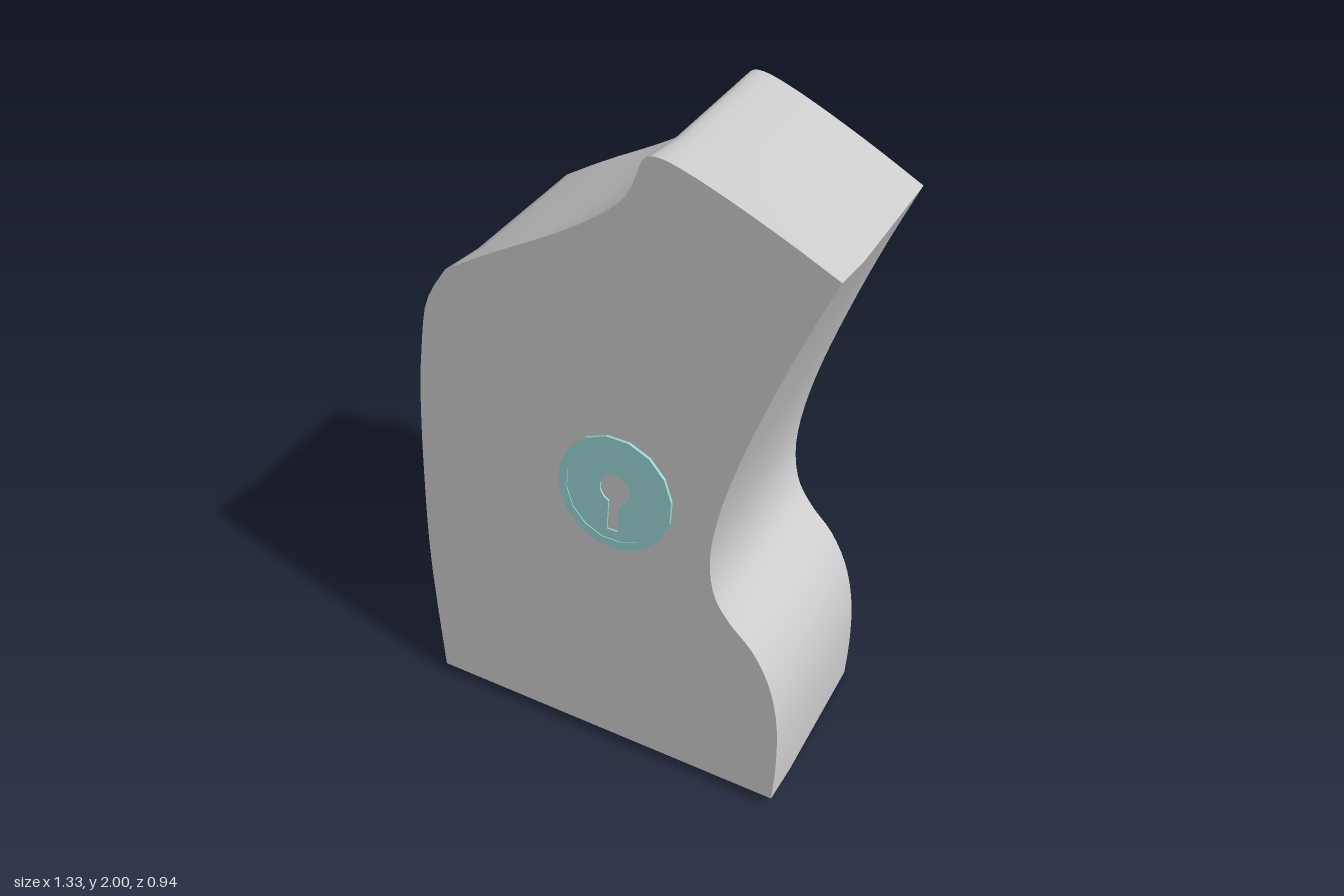
import * as THREE from 'three';
import { toCreasedNormals } from 'three/addons/utils/BufferGeometryUtils.js';

const lerp = THREE.MathUtils.lerp;
const vecs = (list) => list.map(([x, y]) => new THREE.Vector2(x, y));

// Regular polygon outline
function polygon(radius, sides, cy = 0) {
  return Array.from({ length: sides }, (_, i) => {
    const a = ((i + 0.5) / sides) * Math.PI * 2;
    return new THREE.Vector2(Math.cos(a) * radius, cy + Math.sin(a) * radius);
  });
}

// Curved slab: outline extruded back, then skewed between two leaning planes
function makeBody(material) {
  const shape = new THREE.Shape();
  shape.moveTo(-0.55, 0.037);
  shape.lineTo(0.66, 0.037);
  shape.splineThru(vecs([[0.66, 0.18], [0.645, 0.33], [0.605, 0.46], [0.54, 0.56], [0.46, 0.63], [0.4, 0.71],
    [0.375, 0.83], [0.388, 0.98], [0.43, 1.16], [0.5, 1.38], [0.58, 1.6], [0.66, 1.795]]));
  shape.splineThru(vecs([[0.5, 1.866], [0.33, 1.935], [0.2, 1.981], [0.12, 2.0], [0.075, 1.987], [0.05, 1.92],
    [0.02, 1.86], [-0.06, 1.79], [-0.2, 1.7], [-0.4, 1.59], [-0.55, 1.5]]));
  shape.splineThru(vecs([[-0.618, 1.375], [-0.638, 1.2], [-0.643, 1.05], [-0.635, 0.8], [-0.61, 0.45], [-0.55, 0.037]]));

  const geo = new THREE.ExtrudeGeometry(shape, { depth: 1, steps: 4, bevelEnabled: false, curveSegments: 3 });
  const pos = geo.attributes.position;
  for (let i = 0; i < pos.count; i++) {
    const t = 1 - pos.getZ(i);
    // The front quarter drops faster than the rest
    const drop = t < 0.25 ? t * 0.1 : lerp(0.025, 0.036, (t - 0.25) / 0.75);
    const x = pos.getX(i) - 0.028 * t;
    const y = pos.getY(i) - drop;
    const front = 0.466 - 0.0165 * x - 0.132 * y;
    const back = -0.212 + 0.048 * x - 0.135 * y;
    pos.setXYZ(i, x, y, lerp(front, back, t));
  }
  const mesh = new THREE.Mesh(toCreasedNormals(geo, 0.5), material);
  mesh.name = 'body';
  return mesh;
}

// Keyhole outline: round top with a straight slot below
function keyholePath(radius, halfSlot, slotBottom) {
  const pts = [new THREE.Vector2(-halfSlot, slotBottom), new THREE.Vector2(halfSlot, slotBottom)];
  const start = -Math.PI / 2 + Math.asin(halfSlot / radius);
  const sweep = Math.PI * 2 - 2 * Math.asin(halfSlot / radius);
  for (let i = 0; i <= 12; i++) {
    const a = start + (sweep * i) / 12;
    pts.push(new THREE.Vector2(Math.cos(a) * radius, 0.015 + Math.sin(a) * radius));
  }
  return pts;
}

// Thin disc with keyhole and raised rim, held just off the front face
function makeKeyhole(material) {
  const group = new THREE.Group();
  group.name = 'keyhole';
  const add = (name, outer, hole, depth, z) => {
    const shape = new THREE.Shape(outer);
    shape.holes.push(new THREE.Path(hole));
    const mesh = new THREE.Mesh(new THREE.ExtrudeGeometry(shape, { depth, bevelEnabled: false }), material);
    mesh.position.z = z;
    mesh.name = name;
    group.add(mesh);
  };
  add('keyholePlate', polygon(0.188, 16), keyholePath(0.05, 0.018, -0.128), 0.006, -0.004);
  add('keyholeRim', polygon(0.19, 16), polygon(0.162, 16), 0.01, -0.005);
  group.position.set(0.07, 0.972, 0.374);
  group.rotation.set(-0.136, 0.0165, 0);
  return group;
}

export function createModel() {
  const model = new THREE.Group();
  model.name = 'keyholeBlock';
  model.add(makeBody(new THREE.MeshStandardMaterial({ color: 0xcccccc })));
  model.add(makeKeyhole(new THREE.MeshStandardMaterial({ color: 0x99d6d2 })));
  return model;
}
